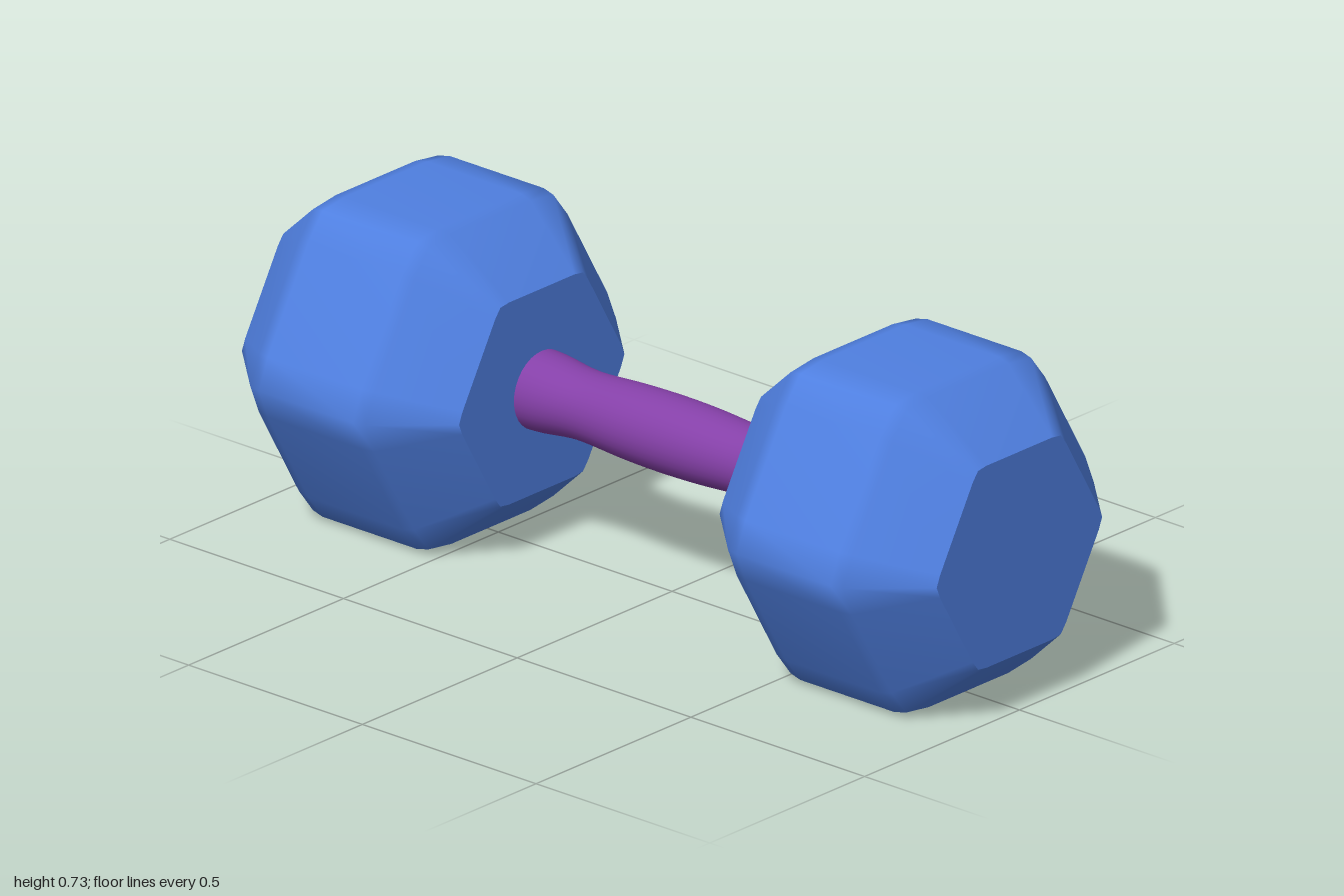
import * as THREE from 'three';

const AXIS_Y = 0.367;
const SIDES = 6;

// Hexagon outline around the x axis with each corner softened by two cuts
function hexRing(x, apothem, cut) {
  const R = apothem / Math.cos(Math.PI / SIDES);
  const corner = k => {
    const t = (k * 2 * Math.PI) / SIDES;
    return new THREE.Vector3(0, Math.sin(t), Math.cos(t)).multiplyScalar(R);
  };
  const ring = [];
  for (let k = 0; k < SIDES; k++) {
    const c = corner(k);
    ring.push(
      c.clone().lerp(corner(k - 1), cut / R),
      c.clone().setLength(R - cut * 0.145),
      c.clone().lerp(corner(k + 1), cut / R)
    );
  }
  ring.forEach(p => { p.x = x; });
  return ring;
}

function geometryFrom(points, index) {
  const g = new THREE.BufferGeometry().setFromPoints(points);
  g.setIndex(index);
  g.computeVertexNormals();
  return g;
}

// Smooth wall joining the rings, which run towards +x
function wallGeometry(rings) {
  const n = rings[0].length;
  const index = [];
  for (let i = 0; i < rings.length - 1; i++) {
    for (let j = 0; j < n; j++) {
      const a = i * n + j, b = i * n + ((j + 1) % n);
      index.push(a, a + n, b, b, a + n, b + n);
    }
  }
  return geometryFrom(rings.flat(), index);
}

// Flat end face, separate from the wall so that its edge stays crisp
function capGeometry(ring, facesPlusX) {
  const n = ring.length;
  const index = [];
  for (let j = 0; j < n; j++) {
    const k = (j + 1) % n;
    index.push(n, ...(facesPlusX ? [k, j] : [j, k]));
  }
  return geometryFrom([...ring, new THREE.Vector3(ring[0].x, 0, 0)], index);
}

function createHead(material) {
  const head = new THREE.Group();
  // [x, apothem, corner cut]
  const half = [[0.135, 0.366, 0.08], [0.166, 0.36, 0.08], [0.3125, 0.235, 0.03]];
  const profile = [...half.map(([x, a, c]) => [-x, a, c]).reverse(), ...half];
  const rings = profile.map(p => hexRing(...p));
  const add = (name, geometry) => {
    const mesh = new THREE.Mesh(geometry, material);
    mesh.name = name;
    head.add(mesh);
  };
  add('headBody', wallGeometry(rings));
  add('headEndRight', capGeometry(rings[0], false));
  add('headEndLeft', capGeometry(rings[rings.length - 1], true));
  return head;
}

export function createModel() {
  const model = new THREE.Group();
  model.name = 'dumbbell';
  const blue = new THREE.MeshStandardMaterial({ color: 0x4f7fe0 });
  const purple = new THREE.MeshStandardMaterial({ color: 0x8540a8 });

  // Pair of hexagonal weights
  for (const [name, side] of [['leftHead', 1], ['rightHead', -1]]) {
    const head = createHead(blue);
    head.name = name;
    head.position.set(side * 0.6875, AXIS_Y, 0);
    model.add(head);
  }

  // Grip: swollen in the middle, waisted, then flared into the heads
  const half = [[0.085, 0.1], [0.078, 0.24], [0.088, 0.34], [0.091, 0.4]];
  const curve = new THREE.SplineCurve([
    ...half.map(([r, x]) => new THREE.Vector2(r, -x)).reverse(),
    new THREE.Vector2(0.087, 0),
    ...half.map(([r, x]) => new THREE.Vector2(r, x)),
  ]);
  const handle = new THREE.Mesh(new THREE.LatheGeometry(curve.getPoints(40), 32), purple);
  handle.name = 'handle';
  handle.rotation.z = -Math.PI / 2;
  handle.position.y = AXIS_Y;
  model.add(handle);

  return model;
}
